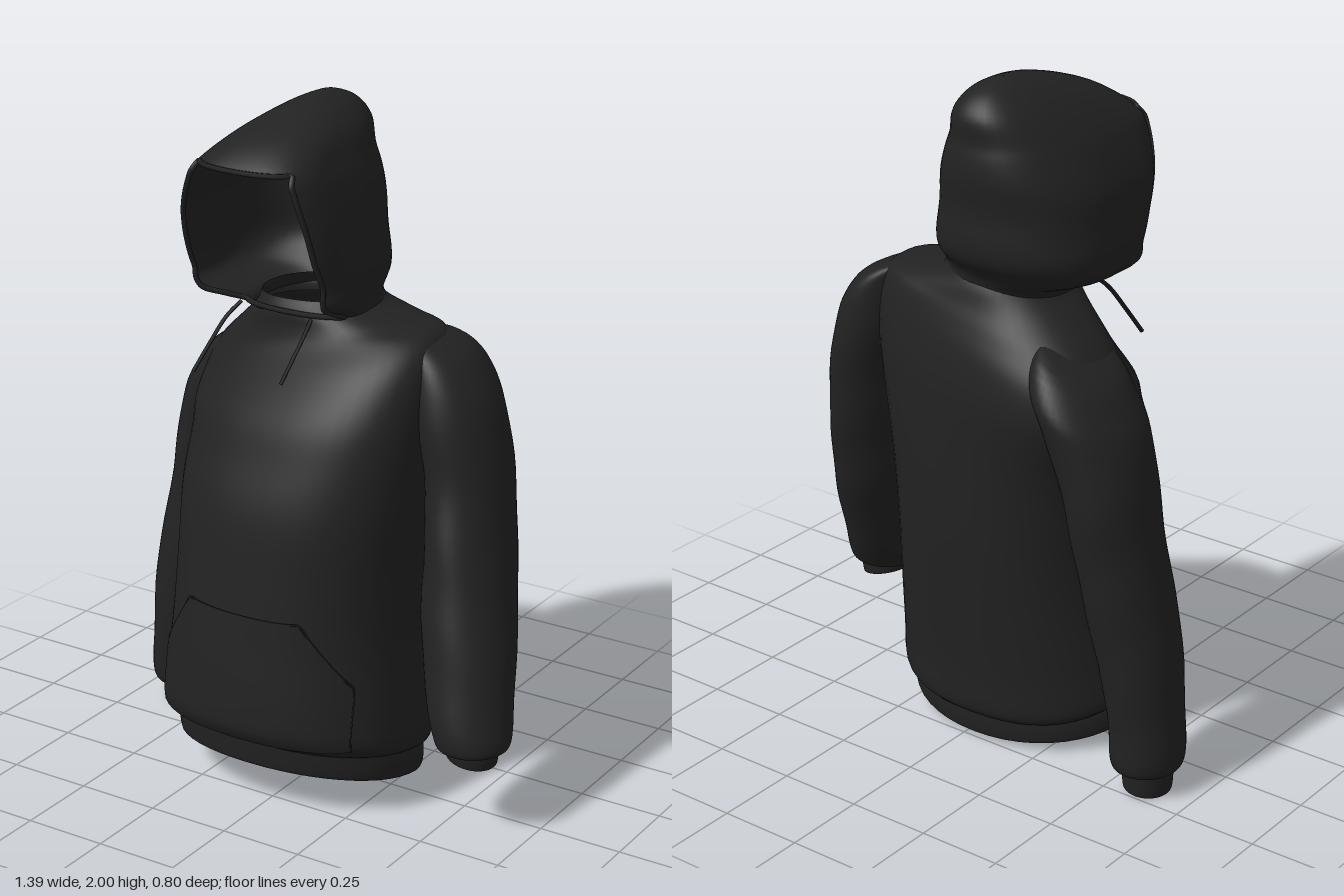
import * as THREE from 'three';

const cloth = new THREE.MeshStandardMaterial({ color: 0x222222, side: THREE.DoubleSide });
cloth.name = 'charcoal cloth';
const thread = new THREE.MeshStandardMaterial({ color: 0x181818, side: THREE.DoubleSide });
thread.name = 'dark seam';

const SIDES = 48, STEPS = 5;

// Catmull-Rom blend between cross-section rows at t (in row units)
function rowAt(rows, t) {
  const last = rows.length - 1;
  const i = Math.min(Math.floor(t), last - 1), f = t - i;
  const [a, b, c, d] = [i - 1, i, i + 1, i + 2].map(k => rows[THREE.MathUtils.clamp(k, 0, last)]);
  return b.map((_, k) => 0.5 * (2 * b[k] + (c[k] - a[k]) * f
    + (2 * a[k] - 5 * b[k] + 4 * c[k] - d[k]) * f * f
    + (3 * b[k] - a[k] - 3 * c[k] + d[k]) * f * f * f));
}

const spow = (v, e) => Math.sign(v) * Math.pow(Math.abs(v), e);
const noFold = () => 0;

// Row: x, y, z, half width, half depth, rise along x, rise along z, twist (z along x),
// then roundness of the sides, front and back (1 is an ellipse, less is squarer)
function ringPoint([x, y, z, hx, hz, riseX = 0, riseZ = 0, twist = 0, side = 1, front = 1, back = 1], a, fold) {
  const k = 1 + fold(a, y), c = Math.cos(a);
  const dx = hx * spow(Math.sin(a), side) * k, dz = hz * spow(c, c > 0 ? front : back) * k;
  return new THREE.Vector3(x + dx, y + riseX * dx + riseZ * dz, z + dz + twist * dx);
}

// Skin over rows listed from bottom to top; skip(y, column) leaves an opening
function loft(name, rows, fold = noFold, skip = () => false) {
  const pos = [], idx = [], count = (rows.length - 1) * STEPS;
  for (let i = 0; i <= count; i++) {
    const row = rowAt(rows, i / STEPS);
    for (let j = 0; j < SIDES; j++) pos.push(...ringPoint(row, j / SIDES * Math.PI * 2, fold).toArray());
    if (i === count) break;
    const mid = rowAt(rows, (i + 0.5) / STEPS)[1];
    for (let j = 0; j < SIDES; j++) {
      if (skip(mid, j)) continue;
      const a = i * SIDES + j, b = i * SIDES + (j + 1) % SIDES;
      idx.push(a, b, b + SIDES, a, b + SIDES, a + SIDES);
    }
  }
  const g = new THREE.BufferGeometry();
  g.setAttribute('position', new THREE.Float32BufferAttribute(pos, 3));
  g.setIndex(idx);
  g.computeVertexNormals();
  return named(new THREE.Mesh(g, cloth), name);
}

function named(o, name) { o.name = name; return o; }

function cord(name, points, radius, material, closed = false) {
  const curve = new THREE.CatmullRomCurve3(points, closed, 'centripetal');
  return named(new THREE.Mesh(new THREE.TubeGeometry(curve, points.length * 5, radius, 6, closed), material), name);
}

// Torso rows; the last number is the roundness of the back
const ROUND = 0.88;
const TORSO = [
  [-0.035, 0.15, 0.035, 0.365, 0.30, 0, 0.2, 0, 0.9],
  [-0.035, 0.19, 0.052, 0.395, 0.335, 0, 0.2, 0, 0.9],
  [-0.035, 0.30, 0.05, 0.39, 0.34, 0, 0.15, 0, 0.88],
  [-0.035, 0.50, 0.03, 0.375, 0.343, 0, 0.08, 0, 0.85],
  [-0.035, 0.70, 0.01, 0.375, 0.343, 0, 0.03, 0.03, 0.8],
  [-0.035, 0.90, -0.01, 0.385, 0.335, 0, 0, 0.08, 0.65],
  [-0.035, 1.05, -0.04, 0.395, 0.31, 0.05, 0, 0.13, 0.5],
  [-0.04, 1.15, -0.063, 0.405, 0.285, 0.11, 0, 0.14, 0.45],
  [-0.04, 1.25, -0.095, 0.40, 0.237, 0.17, 0, 0.14, 0.5],
  [-0.04, 1.32, -0.115, 0.365, 0.195, 0.18, 0, 0.1, 0.65],
  [-0.04, 1.37, -0.115, 0.28, 0.175, 0.12, 0, 0.05, 0.8],
  [-0.06, 1.415, -0.11, 0.19, 0.165, 0.08, 0, 0, 0.9],
  [-0.06, 1.45, -0.11, 0.175, 0.145, 0.05, 0, 0, 0.9],
].map(r => [...r.slice(0, 8), ROUND, ROUND, r[8]]);

// Point on the front of the torso at x, y
function onFront(x, y, lift) {
  let z = 0.35;
  for (let n = 0; n < 4; n++) {
    let lo = 0, hi = TORSO.length - 1;
    for (let s = 0; s < 24; s++) {
      const m = (lo + hi) / 2, r = rowAt(TORSO, m);
      if (r[1] + r[5] * (x - r[0]) + r[6] * (z - r[2]) < y) lo = m; else hi = m;
    }
    const r = rowAt(TORSO, lo), u = Math.min(1, Math.abs((x - r[0]) / r[3]));
    z = r[2] + r[7] * (x - r[0]) + r[4] * Math.pow(1 - Math.pow(u, 2 / ROUND), ROUND / 2);
  }
  return new THREE.Vector3(x, y, z + lift);
}

// Front pocket: straight low sides, slanted hand openings, flat top
function makePocket() {
  const group = named(new THREE.Group(), 'frontPocket');
  const half = y => y < 0.42 ? 0.32 : THREE.MathUtils.mapLinear(y, 0.42, 0.615, 0.32, 0.185);
  const at = (u, v, lift) => {
    const y = 0.235 + 0.38 * v;
    return onFront(-0.035 + (2 * u - 1) * half(y), y, lift);
  };
  const g = new THREE.PlaneGeometry(1, 1, 24, 16), p = g.attributes.position;
  for (let i = 0; i < p.count; i++) {
    const q = at(p.getX(i) + 0.5, p.getY(i) + 0.5, 0.009);
    p.setXYZ(i, q.x, q.y, q.z);
  }
  g.computeVertexNormals();
  group.add(named(new THREE.Mesh(g, cloth), 'pocketPanel'));
  const edge = [];
  for (let i = 0; i <= 10; i++) edge.push(at(0, i / 10, 0.006));
  for (let i = 1; i < 10; i++) edge.push(at(i / 10, 1, 0.006));
  for (let i = 10; i >= 0; i--) edge.push(at(1, i / 10, 0.006));
  group.add(cord('pocketSeam', edge, 0.003, thread));
  return group;
}

// Sleeve with soft folds, plus a ribbed cuff turned in at the end
function makeSleeve(name, rows, [x, y, z, hx, hz, rise], drop) {
  const group = named(new THREE.Group(), name);
  group.add(loft(name + 'Body', rows,
    (a, h) => 0.012 * Math.sin(h * 24 + 2 * Math.sin(a)) + 0.012 * Math.sin(3 * a + h * 9)));
  group.add(loft(name + 'Cuff', [
    [x, y + 0.05, z, hx * 0.75, hz * 0.75, rise],
    [x, y, z, hx * 0.93, hz * 0.93, rise],
    [x, y + 0.01, z, hx, hz, rise],
    [x, y + drop, z, hx * 1.05, hz * 1.05, rise],
  ]));
  return group;
}

function makeHood() {
  const group = named(new THREE.Group(), 'hood');
  // The last number is the roundness of the front
  const rows = [
    [-0.06, 1.385, -0.11, 0.19, 0.155, 0.8],
    [-0.07, 1.42, -0.105, 0.20, 0.165, 0.6],
    [-0.125, 1.46, -0.076, 0.25, 0.209, 0.35],
    [-0.13, 1.52, -0.087, 0.262, 0.238, 0.35],
    [-0.13, 1.60, -0.076, 0.258, 0.269, 0.35],
    [-0.13, 1.70, -0.057, 0.247, 0.283, 0.35],
    [-0.123, 1.80, -0.051, 0.213, 0.304, 0.35],
    [-0.118, 1.855, -0.055, 0.185, 0.292, 0.35],
    [-0.106, 1.92, -0.095, 0.14, 0.24, 0.6],
    [-0.10, 1.97, -0.15, 0.082, 0.145, 0.85],
    [-0.10, 1.995, -0.18, 0.028, 0.055, 1],
    [-0.10, 2.0, -0.185, 0.001, 0.001, 1],
  ].map(r => [...r.slice(0, 5), 0, 0, 0, 0.85, r[5], 0.92]);
  const gap = 7, first = 1, brim = 7;
  const fold = (a, y) => 0.022 * Math.sin(y * 30) * Math.max(0, -Math.cos(a));
  group.add(loft('hoodShell', rows, fold,
    (y, j) => y > rows[first][1] && y < rows[brim][1] && (j < gap || j >= SIDES - gap)));
  // Stitched edge round the face opening
  const rim = [], step = Math.PI * 2 / SIDES;
  const add = (t, j) => rim.push(ringPoint(rowAt(rows, t), j * step, fold));
  for (let t = first; t < brim; t += 0.5) add(t, gap);
  for (let j = gap; j > -gap; j--) add(brim, j);
  for (let t = brim; t > first; t -= 0.5) add(t, -gap);
  for (let j = -gap; j < gap; j++) add(first, j);
  group.add(cord('hoodRim', rim, 0.008, cloth, true));
  return group;
}

export function createModel() {
  const model = named(new THREE.Group(), 'hoodedSweatshirt');

  model.add(loft('torso', TORSO, (a, y) => 0.008 * Math.sin(5 * a + y * 7) * Math.max(0, -Math.cos(a))));

  // Waistband, lower at the back
  model.add(loft('waistband', [
    [-0.035, 0.09, 0.038, 0.355, 0.275],
    [-0.035, 0.078, 0.038, 0.372, 0.29],
    [-0.035, 0.12, 0.038, 0.378, 0.297],
    [-0.035, 0.17, 0.04, 0.373, 0.30],
  ].map(r => [...r, 0, 0.2, 0, 0.95, 0.9, 1])));

  model.add(makePocket());

  // Sleeve rows lean into the shoulders at the top
  model.add(makeSleeve('leftSleeve', [
    [0.575, 0.29, 0.11, 0.06, 0.06, 0],
    [0.58, 0.268, 0.11, 0.095, 0.095, 0],
    [0.578, 0.30, 0.105, 0.111, 0.115, 0],
    [0.555, 0.40, 0.075, 0.12, 0.135, 0],
    [0.51, 0.60, 0.01, 0.129, 0.157, 0],
    [0.475, 0.80, -0.045, 0.12, 0.163, 0],
    [0.445, 1.00, -0.088, 0.115, 0.16, 0],
    [0.40, 1.19, -0.10, 0.12, 0.162, -0.1],
    [0.365, 1.305, -0.11, 0.105, 0.14, -0.3],
    [0.33, 1.365, -0.115, 0.08, 0.095, -0.3],
    [0.30, 1.385, -0.115, 0.002, 0.002, -0.3],
  ], [0.578, 0.232, 0.105, 0.074, 0.078, -0.2], 0.06));

  model.add(makeSleeve('rightSleeve', [
    [-0.595, 0.10, -0.17, 0.06, 0.06, 0],
    [-0.595, 0.075, -0.17, 0.085, 0.095, 0],
    [-0.595, 0.11, -0.17, 0.102, 0.118, 0],
    [-0.588, 0.25, -0.17, 0.102, 0.125, 0],
    [-0.55, 0.50, -0.18, 0.12, 0.14, 0],
    [-0.52, 0.70, -0.20, 0.115, 0.15, 0],
    [-0.49, 0.90, -0.215, 0.115, 0.162, 0],
    [-0.44, 1.07, -0.215, 0.132, 0.172, 0.15],
    [-0.39, 1.18, -0.215, 0.135, 0.172, 0.35],
    [-0.365, 1.265, -0.195, 0.095, 0.128, 0.5],
    [-0.33, 1.295, -0.18, 0.002, 0.002, 0.5],
  ], [-0.60, 0.014, -0.175, 0.068, 0.078, 0.12], 0.09));

  model.add(makeHood());

  // Drawstrings hanging from the neck
  const v = (x, y, z) => new THREE.Vector3(x, y, z);
  model.add(cord('leftDrawstring', [v(0.005, 1.42, 0.04), v(0.005, 1.38, 0.075), v(0, 1.31, 0.14), v(-0.012, 1.25, 0.18)], 0.006, thread));
  model.add(cord('rightDrawstring', [v(-0.25, 1.41, 0.02), v(-0.275, 1.37, 0.06), v(-0.305, 1.29, 0.11), v(-0.33, 1.22, 0.15)], 0.006, thread));

  return model;
}
